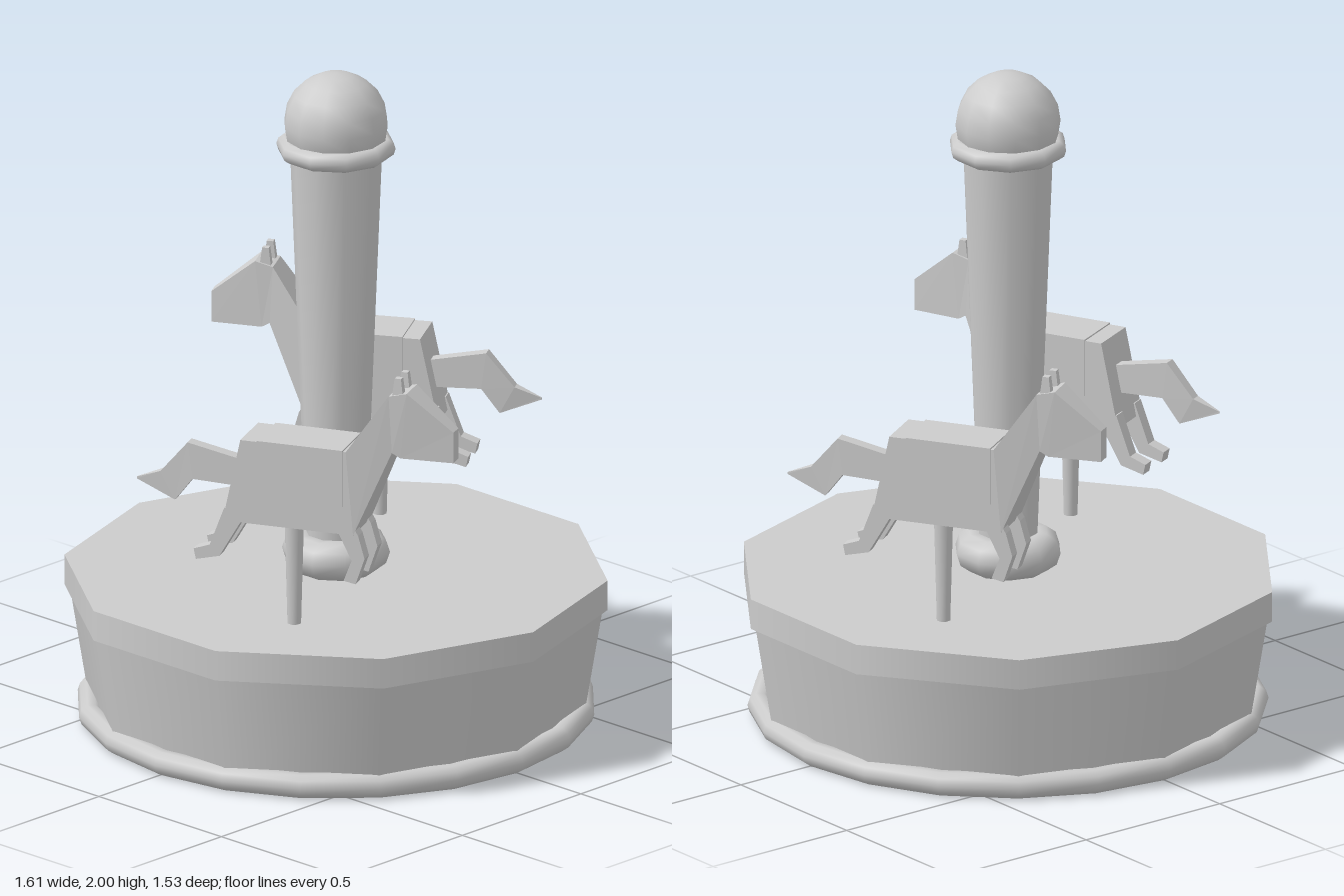
import * as THREE from 'three';

const grey = new THREE.MeshStandardMaterial({ color: 0xcccccc });
const greyFlat = new THREE.MeshStandardMaterial({ color: 0xcccccc, flatShading: true });
const greyOpen = new THREE.MeshStandardMaterial({ color: 0xcccccc, side: THREE.DoubleSide });
const SIDES = 10;

function add(parent, name, geometry, material = grey, x = 0, y = 0, z = 0) {
  const mesh = new THREE.Mesh(geometry, material);
  mesh.name = name;
  mesh.position.set(x, y, z);
  parent.add(mesh);
  return mesh;
}

// Ten-sided tube or solid with a corner on the x axis
function drum(rTop, rBottom, height, open = false) {
  return new THREE.CylinderGeometry(rTop, rBottom, height, SIDES, 1, open, Math.PI / 2);
}

// Torus lying flat
function ring(radius, tube, segments) {
  return new THREE.TorusGeometry(radius, tube, 10, segments).rotateX(Math.PI / 2);
}

// Four-sided loft; each station is [xLow, yLow, xHigh, yHigh, halfWidth].
// Stations run either towards +x (low to high) or downwards (back to front).
function loft(stations) {
  const rings = stations.map(([xl, yl, xh, yh, w]) => [
    [xl, yl, -w], [xl, yl, w], [xh, yh, w], [xh, yh, -w],
  ]);
  const out = [];
  const quad = (a, b, c, d) => out.push(...a, ...b, ...c, ...a, ...c, ...d);
  for (let i = 0; i + 1 < rings.length; i++) {
    for (let j = 0; j < 4; j++) {
      const k = (j + 1) % 4;
      quad(rings[i][j], rings[i + 1][j], rings[i + 1][k], rings[i][k]);
    }
  }
  const first = rings[0];
  const last = rings[rings.length - 1];
  quad(first[0], first[1], first[2], first[3]);
  quad(last[3], last[2], last[1], last[0]);
  const geometry = new THREE.BufferGeometry();
  geometry.setAttribute('position', new THREE.Float32BufferAttribute(out, 3));
  geometry.computeVertexNormals();
  return geometry;
}

// Horse facing +x, on its own pole at the origin
function createHorse() {
  const horse = new THREE.Group();
  horse.name = 'horse';

  // Rump, shoulder, poll, forehead, nose
  add(horse, 'bodyAndHead', loft([
    [-0.195, 0.78, -0.14, 1.037, 0.08],
    [0.21, 0.78, 0.187, 1.037, 0.08],
    [0.32, 1.04, 0.31, 1.215, 0.05],
    [0.345, 1.025, 0.365, 1.228, 0.046],
    [0.502, 1.02, 0.502, 1.115, 0.022],
  ]), greyFlat);

  add(horse, 'saddleCloth', new THREE.BoxGeometry(0.265, 0.175, 0.168), greyFlat, 0.045, 0.954, 0);

  // Tail, from tip to root
  add(horse, 'tail', loft([
    [-0.488, 0.85, -0.488, 0.856, 0.002],
    [-0.365, 0.803, -0.41, 0.887, 0.016],
    [-0.31, 0.875, -0.325, 0.987, 0.019],
    [-0.17, 0.87, -0.14, 0.95, 0.019],
  ]), greyFlat);

  for (const side of [-1, 1]) {
    add(horse, 'frontLeg', loft([
      [0.155, 0.82, 0.2, 0.82, 0.02],
      [0.165, 0.78, 0.225, 0.78, 0.02],
      [0.205, 0.7, 0.245, 0.71, 0.02],
      [0.18, 0.635, 0.217, 0.628, 0.02],
    ]), greyFlat, 0, 0, side * 0.058);

    add(horse, 'rearLeg', loft([
      [-0.19, 0.82, -0.13, 0.82, 0.02],
      [-0.205, 0.78, -0.14, 0.78, 0.02],
      [-0.235, 0.7, -0.205, 0.668, 0.02],
      [-0.285, 0.682, -0.278, 0.65, 0.02],
    ]), greyFlat, 0, 0, side * 0.06);

    add(horse, 'ear', loft([
      [0.325, 1.27, 0.345, 1.27, 0.01],
      [0.315, 1.19, 0.355, 1.19, 0.013],
    ]), greyFlat, 0, 0, side * 0.03);
  }

  add(horse, 'horsePole', new THREE.CylinderGeometry(0.031, 0.021, 0.36, 8), grey, 0, 0.63, 0);
  return horse;
}

export function createModel() {
  const model = new THREE.Group();
  model.name = 'carousel';

  // Hollow base, open underneath right up to the deck
  add(model, 'baseRing', ring(0.728, 0.0375, 20), grey, 0, 0.0375, 0);
  add(model, 'baseWall', drum(0.79, 0.735, 0.335, true), greyOpen, 0, 0.1975, 0);
  add(model, 'deckLedge', new THREE.RingGeometry(0.79, 0.805, SIDES).rotateX(-Math.PI / 2), greyOpen, 0, 0.365, 0);
  add(model, 'deckRim', drum(0.805, 0.805, 0.092, true), greyOpen, 0, 0.411, 0);
  add(model, 'deck', new THREE.CircleGeometry(0.805, SIDES).rotateX(-Math.PI / 2), greyOpen, 0, 0.457, 0);

  // Centre column
  add(model, 'columnCollar', ring(0.1, 0.06, SIDES), grey, 0, 0.514, 0);
  add(model, 'column', drum(0.137, 0.085, 1.32), grey, 0, 1.11, 0);
  add(model, 'columnTopRing', ring(0.147, 0.03, SIDES), grey, 0, 1.772, 0);
  add(model, 'finial', new THREE.SphereGeometry(0.156, 12, 10), grey, 0, 1.844, 0);

  // Two horses on opposite sides of the column
  [[0.243, 0.427, 25], [-0.238, -0.43, 211]].forEach(([x, z, degrees]) => {
    const horse = createHorse();
    horse.position.set(x, 0, z);
    horse.rotation.y = THREE.MathUtils.degToRad(degrees);
    model.add(horse);
  });

  return model;
}
